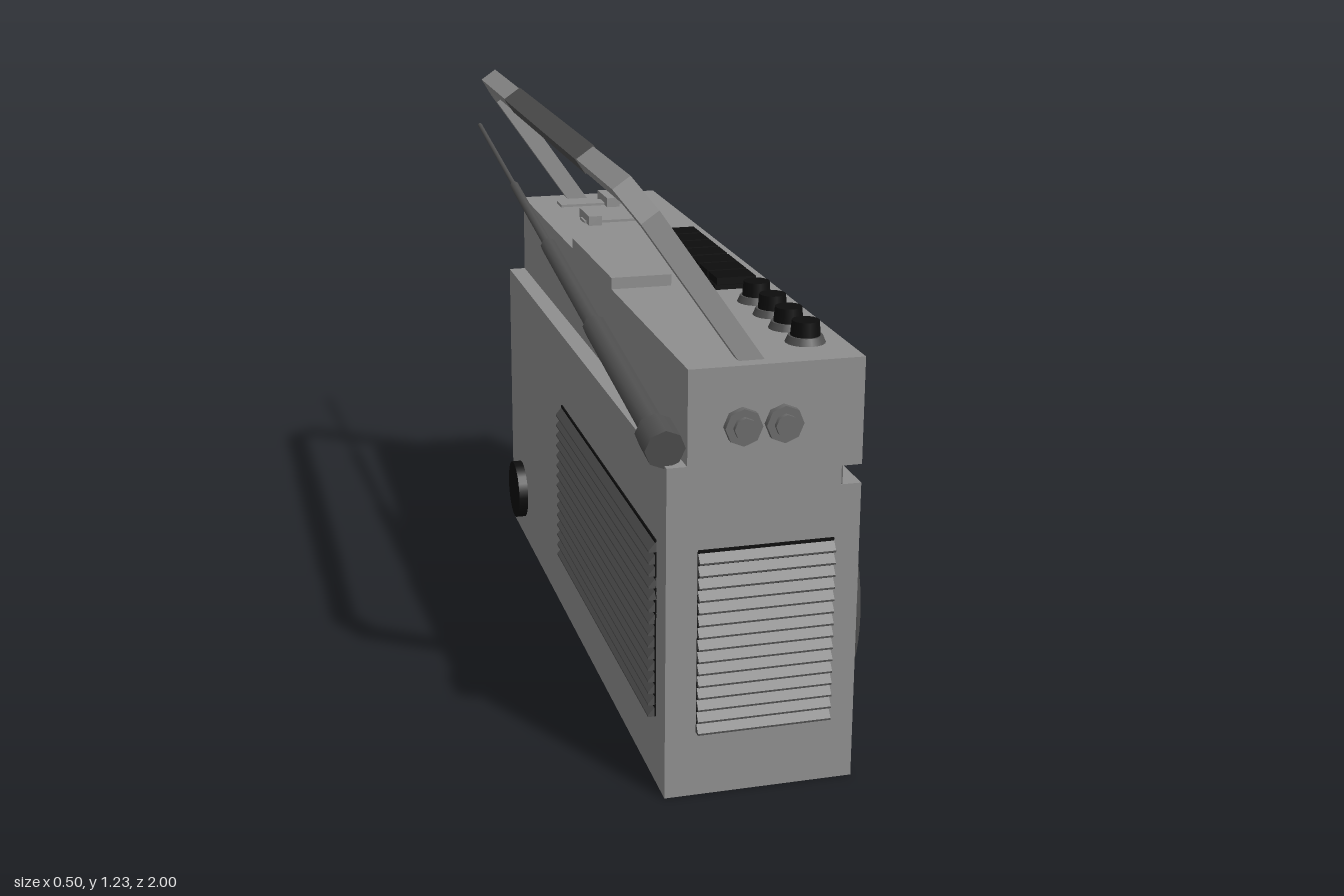
import * as THREE from 'three';
import { toCreasedNormals } from 'three/addons/utils/BufferGeometryUtils.js';

const paint = (name, color) => {
  const m = new THREE.MeshStandardMaterial({ color });
  m.name = name;
  return m;
};

export function createModel() {
  const model = new THREE.Group();
  const grey = paint('casing grey', 0x8f8f8f);
  const mid = paint('mid grey', 0x6a6a6a);
  const dark = paint('dark grey', 0x505050);
  const black = paint('black', 0x0d0d0d);
  const red = paint('red', 0xe01010);
  const navy = paint('navy', 0x0d0a30);
  const blue = paint('blue', 0x103c85);

  const add = (name, geo, mat, parent = model) => {
    const mesh = new THREE.Mesh(geo, mat);
    mesh.name = name;
    parent.add(mesh);
    return mesh;
  };
  // Box given by its limits on each axis
  const box = (name, mat, [x0, x1], [y0, y1], [z0, z1], parent) => {
    const mesh = add(name, new THREE.BoxGeometry(x1 - x0, y1 - y0, z1 - z0), mat, parent);
    mesh.position.set((x0 + x1) / 2, (y0 + y1) / 2, (z0 + z1) / 2);
    return mesh;
  };
  const polygon = pts => new THREE.Shape(pts.map(p => new THREE.Vector2(...p)));
  const extrude = (shape, depth) => new THREE.ExtrudeGeometry(shape, { depth, bevelEnabled: false });
  const rectPath = ([z0, z1], [y0, y1]) => polygon([[-z1, y0], [-z0, y0], [-z0, y1], [-z1, y1]]);
  // Plate drawn in (-z, y) and extruded along +x
  const plate = (name, mat, shape, [x0, x1], parent) => {
    const mesh = add(name, extrude(shape, x1 - x0), mat, parent);
    mesh.rotation.y = Math.PI / 2;
    mesh.position.x = x0;
    return mesh;
  };
  // Round part with its axis on x
  const disc = (name, mat, r, [x0, x1], y, z, seg = 32) => {
    const mesh = add(name, new THREE.CylinderGeometry(r, r, x1 - x0, seg), mat);
    mesh.rotation.z = -Math.PI / 2;
    mesh.position.set((x0 + x1) / 2, y, z);
    return mesh;
  };

  // Casing with front groove and stepped back
  const casing = add('casing', extrude(polygon([
    [-0.172, 0], [0.216, 0], [0.216, 0.627], [0.175, 0.627], [0.175, 0.665],
    [0.185, 0.665], [0.185, 0.88], [-0.132, 0.88], [-0.132, 0.69], [-0.172, 0.69],
  ]), 1.56), grey);
  casing.position.z = -0.585;
  box('frontGroove', mid, [0.17, 0.178], [0.627, 0.665], [-0.584, 0.974]);

  // Tuner frame with three openings
  const frame = rectPath([-0.585, 0.975], [0.665, 0.88]);
  for (const z of [[0.795, 0.945], [-0.395, 0.78], [-0.555, -0.405]])
    frame.holes.push(rectPath(z, [0.695, 0.858]));
  plate('tunerFrame', grey, frame, [0.18, 0.216]);
  box('tunerPanel', dark, [0.18, 0.202], [0.695, 0.858], [-0.395, 0.78]);
  box('dialDarkPart', navy, [0.2, 0.207], [0.743, 0.8], [0.395, 0.733]);
  box('dialBluePart', blue, [0.2, 0.207], [0.743, 0.8], [-0.345, 0.395]);

  // Tuner knobs
  for (const z of [0.87, -0.47]) {
    disc('knobRing', dark, 0.058, [0.18, 0.196], 0.775, z);
    const knob = add('tunerKnob', new THREE.SphereGeometry(0.046, 28, 16), grey);
    knob.scale.x = 0.45;
    knob.position.set(0.194, 0.775, z);
  }

  // Speakers
  const rimGeo = toCreasedNormals(new THREE.LatheGeometry([
    [0.273, 0], [0.273, 0.012], [0.264, 0.02], [0.25, 0.02], [0.243, 0.006],
  ].map(p => new THREE.Vector2(...p)), 56), 0.5);
  for (const z of [0.685, -0.29]) {
    const rim = add('speakerRim', rimGeo, dark);
    rim.rotation.z = -Math.PI / 2;
    rim.position.set(0.215, 0.335, z);
    disc('speakerGrille', dark, 0.246, [0.21, 0.226], 0.335, z, 56);
  }

  // Cassette deck
  box('deckHousing', grey, [0.175, 0.235], [0.55, 0.645], [0, 0.39]);
  box('ejectButton', red, [0.23, 0.25], [0.57, 0.605], [0.12, 0.273]);
  const door = polygon([
    [-0.39, 0.065], [-0.37, 0.04], [-0.02, 0.04], [0, 0.065],
    [0, 0.55], [-0.39, 0.55],
  ]);
  door.holes.push(rectPath([0.03, 0.367], [0.28, 0.488]));
  plate('deckDoor', dark, door, [0.2, 0.232]);
  box('lowerDoorPanel', dark, [0.23, 0.235], [0.12, 0.262], [0.015, 0.375]);
  box('cassette', grey, [0.21, 0.22], [0.28, 0.488], [0.03, 0.367]);
  box('cassetteLabel', mid, [0.217, 0.222], [0.335, 0.415], [0.11, 0.29]);
  for (const z of [0.318, 0.083]) disc('cassetteHub', dark, 0.024, [0.216, 0.225], 0.375, z, 16);
  for (const z of [[0.2, 0.275], [0.125, 0.18]])
    box('cassetteWindow', black, [0.219, 0.225], [0.355, 0.398], z);

  // Top lid, keys, knobs and sliders
  box('topLid', grey, [-0.132, 0], [0.87, 0.905], [0, 0.38]);
  box('keyBed', black, [0.08, 0.175], [0.875, 0.89], [-0.052, 0.44]);
  for (let i = 0; i < 7; i++) {
    const z = -0.05 + i * 0.07;
    box('key', black, [0.085, 0.172], [0.885, 0.905], [z + 0.004, z + 0.066]);
  }
  for (const z of [0.545, 0.65, 0.75, 0.852]) {
    const base = add('controlKnobBase', new THREE.CylinderGeometry(0.034, 0.04, 0.014, 20), dark);
    base.position.set(0.138, 0.887, z);
    const knob = add('controlKnob', new THREE.CylinderGeometry(0.027, 0.03, 0.035, 20), black);
    knob.position.set(0.138, 0.906, z);
  }
  for (const [z, x0, xs] of [[-0.465, -0.063, 0.05], [-0.27, -0.047, -0.042]]) {
    box('sliderTrack', grey, [x0, 0.106], [0.875, 0.886], [z - 0.025, z + 0.025]);
    box('slider', grey, [xs, xs + 0.032], [0.88, 0.903], [z - 0.052, z + 0.052]);
  }

  // Folding handle, tilted backwards
  const handle = new THREE.Group();
  handle.name = 'handle';
  handle.position.y = 0.88;
  handle.rotation.z = 0.608;
  model.add(handle);
  plate('handleBow', grey, polygon([
    [-0.945, -0.03], [-0.912, -0.03], [-0.912, 0.33], [-0.862, 0.374],
    [0.487, 0.374], [0.537, 0.33], [0.537, -0.03], [0.57, -0.03],
    [0.57, 0.345], [0.5, 0.408], [-0.875, 0.408], [-0.945, 0.345],
  ]), [-0.021, 0.021], handle);
  box('handleGrip', dark, [-0.023, 0.023], [0.372, 0.41], [-0.18, 0.575], handle);

  // Telescopic antenna: stages given by end z and radius
  const rod = (name, mat, z0, z1, r) => {
    const at = z => new THREE.Vector3(-0.172, 0.727 + (0.94 - z) * 0.1415, z);
    const a = at(z0), b = at(z1);
    const mesh = add(name, new THREE.CylinderGeometry(r, r, a.distanceTo(b), 8), mat);
    mesh.position.copy(a).lerp(b, 0.5);
    mesh.quaternion.setFromUnitVectors(new THREE.Vector3(0, 1, 0), b.sub(a).normalize());
  };
  rod('antennaPivot', dark, 0.965, 0.89, 0.04);
  rod('antennaStage', dark, 0.9, 0.39, 0.026);
  rod('antennaStage', dark, 0.4, -0.08, 0.019);
  rod('antennaStage', dark, -0.07, -0.5, 0.011);
  rod('antennaTip', dark, -0.49, -0.998, 0.006);

  // Louvred vents, facing local +z
  const vent = (name, width, count, y0, y1) => {
    const g = new THREE.Group();
    g.name = name;
    model.add(g);
    box('ventBack', black, [-width / 2, width / 2], [y0, y1], [-0.005, 0.003], g);
    const pitch = (y1 - y0) / count;
    const geo = extrude(polygon([[0, 0], [0, pitch * 0.9], [-0.016, pitch * 0.15], [-0.016, 0]]), width);
    for (let i = 0; i < count; i++) {
      const slat = add('ventSlat', geo, dark, g);
      slat.rotation.y = Math.PI / 2;
      slat.position.set(-width / 2, y0 + i * pitch, 0);
    }
    return g;
  };
  vent('sideVent', 0.273, 15, 0.137, 0.52).position.set(0.027, 0, 0.975);
  const back = vent('backVent', 0.85, 15, 0.145, 0.52);
  back.rotation.y = -Math.PI / 2;
  back.position.set(-0.172, 0, 0.482);

  // Back port and side sockets
  disc('backPort', black, 0.074, [-0.195, -0.165], 0.123, -0.456, 24);
  for (const x of [-0.026, 0.055])
    for (const [r, z1] of [[0.037, 0.99], [0.022, 1]]) {
      const socket = add('sideSocket', new THREE.CylinderGeometry(r, r, z1 - 0.97, 8), mid);
      socket.rotation.x = Math.PI / 2;
      socket.position.set(x, 0.763, (z1 + 0.97) / 2);
    }
  return model;
}
